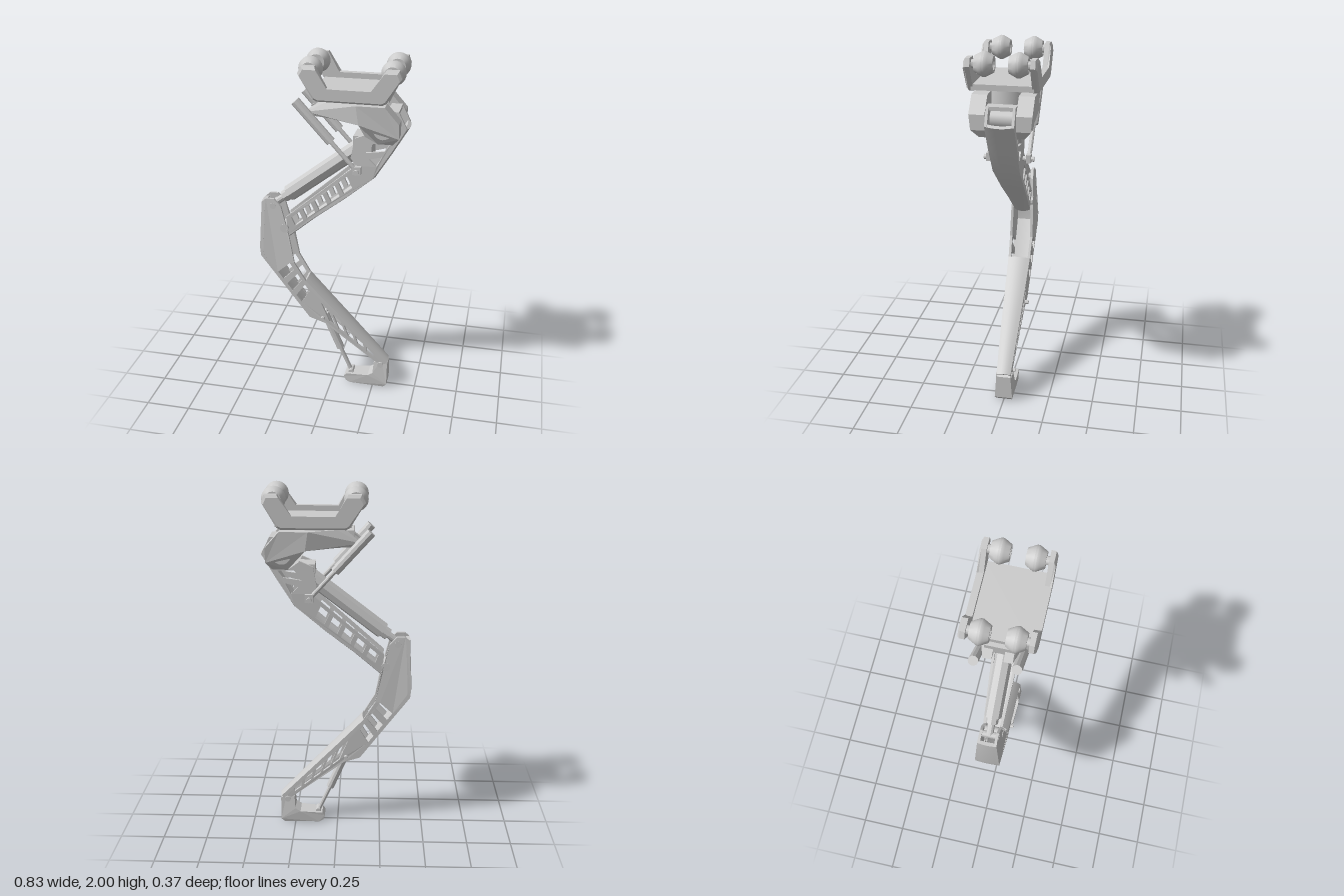
import * as THREE from 'three';
import { toCreasedNormals } from 'three/addons/utils/BufferGeometryUtils.js';

const flat = new THREE.MeshStandardMaterial({ color: 0xcccccc, flatShading: true });
const smooth = new THREE.MeshStandardMaterial({ color: 0xcccccc });

// Linear lookup in a table of [key, value] with rising keys
function lerpTable(table, k) {
  if (k <= table[0][0]) return table[0][1];
  for (let i = 1; i < table.length; i++) {
    const [k0, v0] = table[i - 1], [k1, v1] = table[i];
    if (k <= k1) return v0 + (v1 - v0) * (k - k0) / (k1 - k0);
  }
  return table[table.length - 1][1];
}

function add(parent, name, geometry, material = flat) {
  const mesh = new THREE.Mesh(geometry, material);
  mesh.name = name;
  parent.add(mesh);
  return mesh;
}

// Extruded outline, centred on z = 0
function outline(points, holes, depth) {
  const toPts = list => list.map(p => new THREE.Vector2(p[0], p[1]));
  const shape = new THREE.Shape(toPts(points));
  for (const h of holes) shape.holes.push(new THREE.Path(toPts(h)));
  return new THREE.ExtrudeGeometry(shape, { depth, bevelEnabled: false }).translate(0, 0, -depth / 2);
}

// Move each vertex in z by a rule (x, y, z) => z
function bendZ(geometry, rule) {
  const p = geometry.attributes.position;
  for (let i = 0; i < p.count; i++) p.setZ(i, rule(p.getX(i), p.getY(i), p.getZ(i)));
  geometry.computeVertexNormals();
  return geometry;
}

// Two side plates that follow a half-width table over y
function sidePlates(parent, name, points, holes, t, widths) {
  for (const s of [1, -1])
    add(parent, name, bendZ(outline(points, holes, t), (x, y, z) => z + s * (lerpTable(widths, y) - t / 2)));
}

// Row of window holes between a lower line a0-a1 and an upper line b0-b1
function windows(a0, a1, b0, b1, n, gap = 0.15) {
  const mix = (p, q, t) => [p[0] + (q[0] - p[0]) * t, p[1] + (q[1] - p[1]) * t];
  return Array.from({ length: n }, (_, i) => {
    const t0 = (i + gap) / n, t1 = (i + 1 - gap) / n;
    return [mix(a0, a1, t0), mix(a0, a1, t1), mix(b0, b1, t1), mix(b0, b1, t0)];
  });
}

// Bowed shell along a path of [x, y, halfWidth]; bulges to the left of travel
function shell(path, thick, bow) {
  const n = path.length - 1;
  const g = new THREE.BoxGeometry(1, 1, 1, n, 1, 6);
  const p = g.attributes.position;
  for (let k = 0; k < p.count; k++) {
    const i = Math.round((p.getX(k) + 0.5) * n);
    const a = path[Math.max(i - 1, 0)], b = path[Math.min(i + 1, n)];
    const len = Math.hypot(b[0] - a[0], b[1] - a[1]);
    const z = p.getZ(k);
    const off = bow * (1 - 4 * z * z) - (p.getY(k) < 0 ? thick : 0);
    p.setXYZ(k, path[i][0] - (b[1] - a[1]) / len * off, path[i][1] + (b[0] - a[0]) / len * off, 2 * z * path[i][2]);
  }
  return toCreasedNormals(g, 0.5);
}

// Round or faceted bar between two points
function bar(parent, name, a, b, r, sides = 12, r2 = r) {
  const va = new THREE.Vector3(...a), vb = new THREE.Vector3(...b);
  const dir = vb.clone().sub(va);
  const g = toCreasedNormals(new THREE.CylinderGeometry(r2, r, dir.length(), sides), 0.6);
  const mesh = add(parent, name, g, smooth);
  mesh.position.copy(va).add(vb).multiplyScalar(0.5);
  mesh.quaternion.setFromUnitVectors(new THREE.Vector3(0, 1, 0), dir.normalize());
  return mesh;
}

function box(parent, name, w, h, d, x, y, z) {
  add(parent, name, new THREE.BoxGeometry(w, h, d)).position.set(x, y, z);
}

function createCarriage() {
  const g = new THREE.Group();
  g.name = 'carriage';
  box(g, 'carriagePlate', 0.40, 0.03, 0.32, 0.12, 1.815, 0);
  const rail = [[-0.15, 1.93], [-0.07, 1.80], [-0.05, 1.79], [0.29, 1.79], [0.31, 1.80], [0.385, 1.93],
    [0.37, 1.97], [0.305, 1.97], [0.235, 1.86], [0, 1.86], [-0.06, 1.97], [-0.13, 1.97]];
  for (const s of [1, -1]) {
    // Rail with a chamfered outer face
    add(g, 'sideRail', outline(rail, [], 0.025)).position.z = s * 0.1625;
    const cap = outline(rail, [], 0.01).translate(-0.12, -1.86, 0);
    const p = cap.attributes.position;
    for (let i = 0; i < p.count; i++)
      if (p.getZ(i) * s > 0) p.setXYZ(i, p.getX(i) * 0.96, p.getY(i) * 0.85, p.getZ(i));
    cap.translate(0.12, 1.86, 0);
    add(g, 'railFace', cap).position.z = s * 0.18;
    for (const x of [-0.1, 0.33]) {
      // Barrel wheel and its axle
      const profile = [[0, -0.036], [0.024, -0.036], [0.028, -0.048], [0.042, -0.048], [0.056, -0.022],
        [0.064, -0.006], [0.064, 0.006], [0.056, 0.022], [0.042, 0.048], [0.028, 0.048], [0.024, 0.036], [0, 0.036]];
      const wheel = new THREE.LatheGeometry(profile.map(p => new THREE.Vector2(p[0], p[1])), 28).rotateX(Math.PI / 2);
      add(g, 'wheel', toCreasedNormals(wheel, 0.55), smooth).position.set(x, 1.936, s * 0.087);
      bar(g, 'axle', [x, 1.936, s * 0.07], [x, 1.936, s * 0.16], 0.022, 16);
    }
  }
  return g;
}

function createHip() {
  const g = new THREE.Group();
  g.name = 'hip';
  bar(g, 'turntable', [0.12, 1.68, 0], [0.12, 1.81, 0], 0.12, 32);
  box(g, 'hipBridge', 0.30, 0.07, 0.15, 0.06, 1.733, 0);
  const side = [[-0.13, 1.70], [-0.09, 1.68], [0, 1.68], [0.165, 1.675], [0.20, 1.615], [0.26, 1.565], [0.34, 1.565],
    [0.375, 1.61], [0.375, 1.69], [0.30, 1.775], [0.15, 1.775], [0, 1.775], [-0.05, 1.77]];
  for (const s of [1, -1]) {
    // Cheek narrows toward the rear arm and at its lower lip
    const rule = (x, y, z) => z * s < 0 ? s * lerpTable([[-0.05, 0.03], [0.1, 0.08]], x)
      : s * Math.min(lerpTable([[-0.05, 0.075], [0.15, 0.162]], x), lerpTable([[1.565, 0.118], [1.62, 0.162]], y));
    add(g, 'hipCheek', bendZ(outline(side, [], 0.05), rule));
    // Slim actuator beside the thigh
    const z = s * 0.107;
    bar(g, 'hipActuatorCase', [-0.18, 1.765, z], [0.01, 1.555, z], 0.026, 10);
    bar(g, 'hipActuatorRod', [0.01, 1.555, z], [0.15, 1.40, z], 0.012, 10);
    bar(g, 'hipActuatorPin', [0.15, 1.40, s * 0.06], [0.15, 1.40, s * 0.135], 0.014, 10);
    box(g, 'hipActuatorEye', 0.045, 0.045, 0.025, 0.15, 1.405, z);
  }
  bar(g, 'hipPivot', [0.29, 1.65, -0.15], [0.29, 1.65, 0.15], 0.05, 20);
  return g;
}

function createThigh() {
  const g = new THREE.Group();
  g.name = 'thigh';
  const widths = [[0.95, 0.045], [1.2, 0.064], [1.42, 0.076], [1.74, 0.076]];
  const side = [[0.405, 1.64], [0.36, 1.73], [0.30, 1.73], [0.20, 1.60], [0.13, 1.57], [0.11, 1.46], [0.14, 1.42],
    [-0.26, 1.07], [-0.25, 0.96], [0.23, 1.35]];
  const holes = [...windows([-0.22, 1.01], [0.13, 1.295], [-0.24, 1.06], [0.10, 1.36], 5),
    [[0.19, 1.495], [0.29, 1.51], [0.32, 1.55], [0.23, 1.55]], [[0.21, 1.46], [0.25, 1.42], [0.28, 1.48]]];
  sidePlates(g, 'thighSide', side, holes, 0.014, widths);
  const spine = [[0.405, 1.64], [0.32, 1.495], [0.23, 1.35], [0.06, 1.205], [-0.10, 1.08], [-0.25, 0.95]];
  add(g, 'thighSpine', shell(spine.map(([x, y]) => [x, y, lerpTable(widths, y)]), 0.02, 0.012), smooth);
  box(g, 'thighTopBar', 0.06, 0.02, 0.15, 0.33, 1.72, 0);
  box(g, 'thighUpperBlock', 0.10, 0.12, 0.12, 0.17, 1.52, 0);
  // Main faceted actuator running down to the knee
  bar(g, 'thighActuatorCase', [0.15, 1.505, 0], [-0.25, 1.195, 0], 0.047, 8);
  bar(g, 'thighActuatorCollar', [-0.25, 1.195, 0], [-0.28, 1.172, 0], 0.034, 8);
  bar(g, 'thighActuatorRod', [-0.27, 1.18, 0], [-0.335, 1.13, 0], 0.02, 10);
  return g;
}

function createShin() {
  const g = new THREE.Group();
  g.name = 'shin';
  const widths = [[0.13, 0.038], [0.2, 0.042], [0.43, 0.055], [0.68, 0.064], [0.85, 0.07], [0.95, 0.066], [1.17, 0.052]];
  const side = [[-0.40, 1.15], [-0.415, 0.87], [-0.41, 0.82], [-0.13, 0.435], [-0.04, 0.405], [0.305, 0.135], [0.33, 0.17],
    [-0.15, 0.68], [-0.215, 0.79], [-0.245, 0.96], [-0.29, 1.13], [-0.33, 1.172], [-0.375, 1.172]];
  const holes = [...windows([-0.325, 0.735], [-0.165, 0.52], [-0.25, 0.80], [-0.12, 0.60], 3, 0.2),
    ...windows([-0.02, 0.425], [0.26, 0.195], [-0.07, 0.55], [0.265, 0.215], 5)];
  sidePlates(g, 'shinSide', side, holes, 0.014, widths);
  const withWidth = list => list.map(([x, y]) => [x, y, lerpTable(widths, y)]);
  add(g, 'shinFront', shell(withWidth([[-0.15, 0.68], [0, 0.52], [0.16, 0.35], [0.33, 0.17]]), 0.02, 0.01), smooth);
  add(g, 'kneeBack', shell(withWidth([[-0.13, 0.435], [-0.27, 0.63], [-0.41, 0.82], [-0.415, 0.87], [-0.40, 1.15]]), 0.02, 0.004), smooth);
  bar(g, 'kneeTopPin', [-0.335, 1.13, -0.055], [-0.335, 1.13, 0.055], 0.018, 12);
  bar(g, 'kneePivot', [-0.27, 1.0, -0.062], [-0.27, 1.0, 0.062], 0.025, 14);
  // Ankle actuator
  bar(g, 'ankleActuatorPin', [-0.05, 0.44, -0.075], [-0.05, 0.44, 0.075], 0.012, 8);
  bar(g, 'ankleActuatorCase', [-0.05, 0.44, 0], [0.045, 0.215, 0], 0.023, 10);
  bar(g, 'ankleActuatorRod', [0.045, 0.215, 0], [0.115, 0.055, 0], 0.012, 10);
  return g;
}

function createFoot() {
  const g = new THREE.Group();
  g.name = 'foot';
  const side = [[0.075, 0.04], [0.085, 0.012], [0.11, 0], [0.315, 0], [0.335, 0.02], [0.335, 0.155], [0.30, 0.182],
    [0.255, 0.16], [0.25, 0.09], [0.22, 0.07], [0.09, 0.06]];
  const widths = [[0, 0.046], [0.03, 0.053], [0.09, 0.05], [0.18, 0.037]];
  add(g, 'footBody', bendZ(outline(side, [], 0.1), (x, y, z) =>
    Math.sign(z) * lerpTable(widths, y) * lerpTable([[0.075, 0.8], [0.12, 1]], x)));
  bar(g, 'anklePin', [0.295, 0.15, -0.047], [0.295, 0.15, 0.047], 0.018, 12);
  bar(g, 'toePin', [0.115, 0.065, -0.03], [0.115, 0.065, 0.03], 0.015, 10);
  return g;
}

export function createModel() {
  const model = new THREE.Group();
  model.name = 'mechanicalLeg';
  model.add(createCarriage(), createHip(), createThigh(), createShin(), createFoot());
  return model;
}
